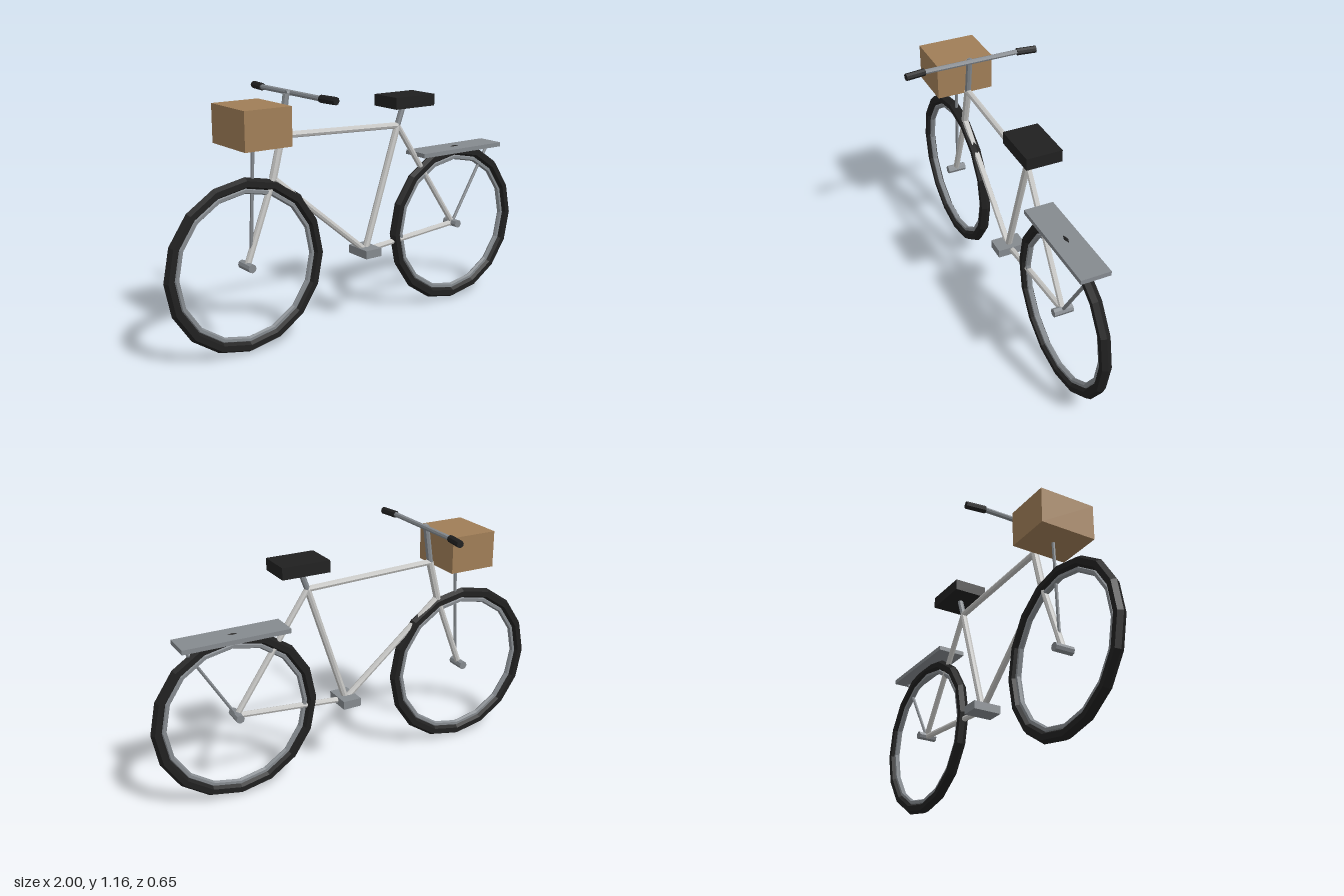
import * as THREE from 'three';

const mat = (name, color) => {
  const m = new THREE.MeshStandardMaterial({ color, flatShading: true });
  m.name = name;
  return m;
};

export function createModel() {
  const bike = new THREE.Group();
  bike.name = 'bicycle';

  const silver = mat('silver frame', 0xc6c6c4);
  const steel = mat('grey steel', 0x858a8f);
  const black = mat('black rubber', 0x202020);
  const tan = mat('tan basket', 0xa07e57);

  const add = (name, geometry, material, x = 0, y = 0, z = 0) => {
    const mesh = new THREE.Mesh(geometry, material);
    mesh.name = name;
    mesh.position.set(x, y, z);
    bike.add(mesh);
    return mesh;
  };
  const box = (name, material, [w, h, d], [x, y, z]) =>
    add(name, new THREE.BoxGeometry(w, h, d), material, x, y, z);

  // Straight tube between two points
  const up = new THREE.Vector3(0, 1, 0);
  const tube = (name, material, a, b, radius, sides = 8) => {
    const from = new THREE.Vector3(...a);
    const dir = new THREE.Vector3(...b).sub(from);
    const mid = from.clone().addScaledVector(dir, 0.5);
    const geometry = new THREE.CylinderGeometry(radius, radius, dir.length(), sides);
    const mesh = add(name, geometry, material, mid.x, mid.y, mid.z);
    mesh.quaternion.setFromUnitVectors(up, dir.normalize());
  };

  // Joints of the frame
  const frontHub = [-0.602, 0.4, 0];
  const rearHub = [0.6, 0.4, 0];
  const crank = [0.045, 0.353, 0];
  const seatJoint = [0.235, 0.937, 0];
  const headLow = [-0.46, 0.775, 0];
  const headHigh = [-0.412, 0.96, 0];
  const stemTop = [-0.385, 1.14, 0];

  // Wheels
  for (const [side, [x, y]] of [['front', frontHub], ['rear', rearHub]]) {
    add(side + 'Tire', new THREE.TorusGeometry(0.374, 0.026, 6, 16), black, x, y);
    add(side + 'Rim', new THREE.TorusGeometry(0.34, 0.013, 6, 16), steel, x, y);
    tube(side + 'Hub', steel, [x, y, -0.046], [x, y, 0.046], 0.02);
  }

  // Frame
  tube('topTube', silver, headHigh, seatJoint, 0.015);
  tube('downTube', silver, crank, headLow, 0.015);
  tube('seatTube', silver, crank, seatJoint, 0.016);
  tube('headTube', silver, headLow, headHigh, 0.018);
  tube('seatStay', silver, seatJoint, rearHub, 0.014);
  tube('chainStay', silver, crank, rearHub, 0.014);
  tube('fork', silver, headLow, frontHub, 0.015);
  box('crankBox', steel, [0.09, 0.04, 0.138], crank);

  // Seat
  tube('seatPost', steel, seatJoint, [0.272, 1.04, 0], 0.014);
  box('seat', black, [0.23, 0.055, 0.165], [0.277, 1.055, 0]);

  // Handlebar
  tube('stem', steel, headHigh, stemTop, 0.015);
  tube('stemReach', steel, stemTop, [-0.362, 1.142, 0], 0.012);
  tube('handlebar', steel, [-0.362, 1.142, -0.24], [-0.362, 1.142, 0.24], 0.012);
  for (const s of [-1, 1])
    tube('grip', black, [-0.362, 1.142, s * 0.231], [-0.35, 1.142, s * 0.325], 0.017);

  // Rear rack
  box('rack', steel, [0.505, 0.021, 0.138], [0.602, 0.784, 0]);
  tube('rackStrut', steel, rearHub, [0.832, 0.78, 0], 0.008, 6);

  // Front basket
  box('basket', tan, [0.23, 0.172, 0.276], [-0.56, 1.022, 0]);
  tube('basketStrut', steel, [-0.58, 0.465, 0], [-0.557, 0.95, 0], 0.008, 6);

  return bike;
}
